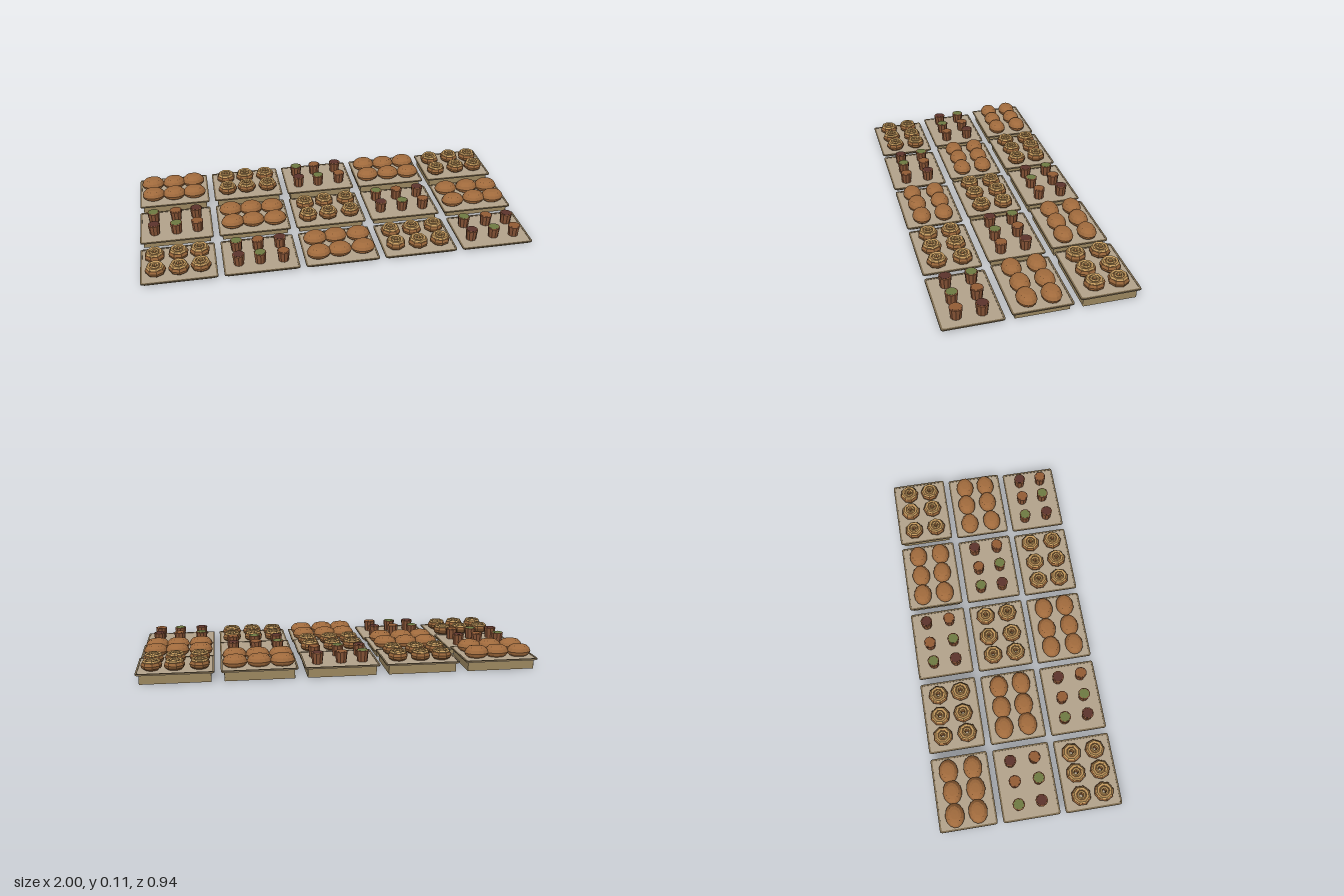
import * as THREE from 'three';
import { mergeVertices } from 'three/addons/utils/BufferGeometryUtils.js';

const mat = (name, color) => {
  const m = new THREE.MeshStandardMaterial({ color });
  m.name = name;
  return m;
};

// Faceted copy of a geometry
function faceted(geo) {
  const g = mergeVertices(geo).toNonIndexed();
  g.computeVertexNormals();
  return g;
}

// Rounded rectangle outline, w by d
function roundedRect(w, d, r, Type = THREE.Shape) {
  const s = new Type(), x = w / 2, y = d / 2;
  s.moveTo(-x + r, -y);
  s.lineTo(x - r, -y).quadraticCurveTo(x, -y, x, -y + r);
  s.lineTo(x, y - r).quadraticCurveTo(x, y, x - r, y);
  s.lineTo(-x + r, y).quadraticCurveTo(-x, y, -x, y - r);
  s.lineTo(-x, -y + r).quadraticCurveTo(-x, -y, -x + r, -y);
  return s;
}

// Slab or frame lying flat, rising from y = 0
function slab(w, d, r, h, wall = 0) {
  const s = roundedRect(w, d, r);
  if (wall) s.holes.push(roundedRect(w - 2 * wall, d - 2 * wall, r * 0.6, THREE.Path));
  return new THREE.ExtrudeGeometry(s, { depth: h, bevelEnabled: false, curveSegments: 3 }).rotateX(-Math.PI / 2);
}

const lathe = (pts, n) =>
  faceted(new THREE.LatheGeometry(pts.map(([x, y]) => new THREE.Vector2(x, y)), n));

export function createModel() {
  const model = new THREE.Group();
  model.name = 'bakeryTrays';

  const tray = mat('tray top', 0xb3a38c);
  const rimMat = mat('tray rim', 0x7f6d50);
  const wood = mat('tray stand', 0x9c8860);
  const crust = mat('crust', 0xa16b3d);
  const dough = mat('roll dough', 0x96653a);
  const glaze = mat('roll glaze', 0xbf975c);
  const cupMat = mat('muffin cup', 0x875436);
  const fillings = [mat('green topping', 0x6f7a42), mat('caramel topping', 0x935c35), mat('berry topping', 0x5c342c)];

  const geo = {
    plate: slab(0.368, 0.284, 0.01, 0.008),
    rim: slab(0.376, 0.294, 0.013, 0.006, 0.009),
    bun: lathe([[0, 0], [0.034, 0], [0.045, 0.011], [0.049, 0.024], [0.043, 0.041], [0.033, 0.053], [0.02, 0.057], [0, 0.058]], 14)
      .scale(1.27, 1, 1),
    // Soft ring with an open centre
    roll: lathe([[0.009, 0.004], [0.036, 0], [0.049, 0.011], [0.052, 0.024], [0.045, 0.038], [0.03, 0.044], [0.015, 0.04], [0.009, 0.028], [0.009, 0.004]], 8),
    glazeOuter: faceted(new THREE.TorusGeometry(0.036, 0.0085, 5, 8).rotateX(Math.PI / 2)),
    glazeInner: faceted(new THREE.TorusGeometry(0.018, 0.007, 5, 8).rotateX(Math.PI / 2)),
    cup: lathe([[0, 0], [0.026, 0], [0.031, 0.048], [0.032, 0.056], [0.027, 0.058], [0.026, 0.054], [0, 0.054]], 10),
    filling: new THREE.CylinderGeometry(0.0265, 0.0265, 0.006, 10),
  };

  function add(parent, name, geometry, material, x = 0, y = 0, z = 0) {
    const m = new THREE.Mesh(geometry, material);
    m.name = name;
    m.position.set(x, y, z);
    parent.add(m);
    return m;
  }

  const makeItem = {
    bun(g) {
      add(g, 'bunCrust', geo.bun, crust);
    },
    roll(g) {
      add(g, 'rollDough', geo.roll, dough);
      add(g, 'outerSwirl', geo.glazeOuter, glaze, 0, 0.041, 0);
      add(g, 'innerSwirl', geo.glazeInner, glaze, 0, 0.046, 0);
    },
    muffin(g, i, j) {
      add(g, 'muffinCup', geo.cup, cupMat);
      add(g, 'topping', geo.filling, fillings[(i + 2 * j) % 3], 0, 0.0555, 0);
    },
  };

  // Three stepped rows of five trays, with the goods cycling along each row
  const kinds = ['bun', 'roll', 'muffin'];
  const shift = [0, 2, 1];
  const standHeight = [0.046, 0.028, 0.01];
  for (let row = 0; row < 3; row++) {
    const h = standHeight[row];
    const stand = slab(0.344, 0.262, 0.004, h, 0.012);
    for (let col = 0; col < 5; col++) {
      const kind = kinds[(col + shift[row]) % 3];
      const t = new THREE.Group();
      t.name = kind + 'Tray';
      t.position.set((col - 2) * 0.406, 0, (row - 1) * 0.3225);
      model.add(t);
      add(t, 'stand', stand, wood);
      add(t, 'trayPlate', geo.plate, tray, 0, h, 0);
      add(t, 'trayRim', geo.rim, rimMat, 0, h + 0.004, 0);

      // Two rows of three, placed a little unevenly
      for (let j = 0; j < 2; j++) {
        for (let i = 0; i < 3; i++) {
          const k = row * 30 + col * 6 + j * 3 + i;
          const g = new THREE.Group();
          g.name = kind;
          g.position.set((i - 1) * 0.114 + 0.004 * Math.sin(k * 2.3), h + 0.008, (j - 0.5) * 0.122 + 0.004 * Math.sin(k * 1.7));
          g.rotation.y = kind === 'bun' ? 0.06 * Math.sin(k * 3.1) : k * 0.7;
          makeItem[kind](g, i, j);
          t.add(g);
        }
      }
    }
  }
  return model;
}
